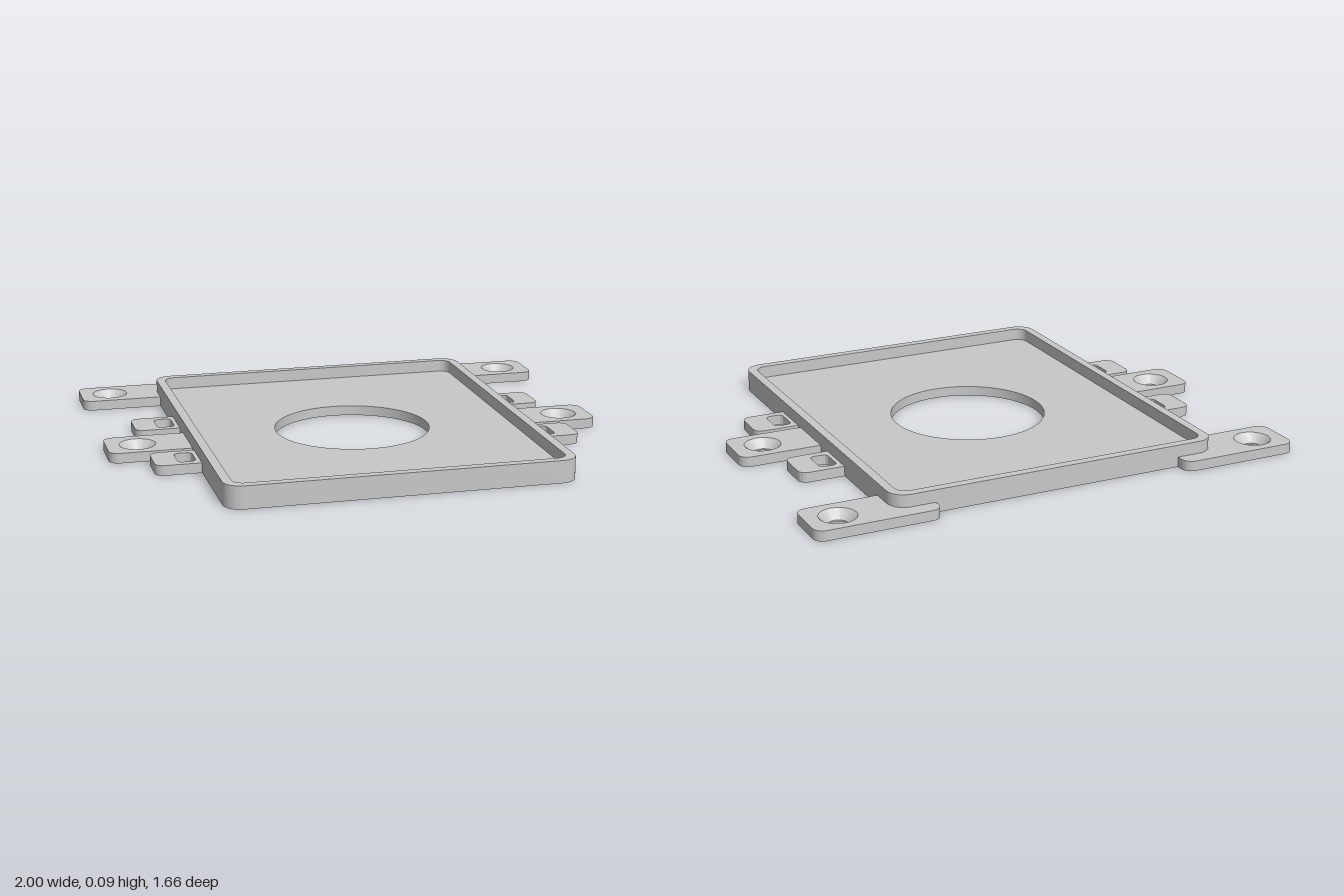
import * as THREE from 'three';
import { toCreasedNormals } from 'three/addons/utils/BufferGeometryUtils.js';

const TAB_H = 0.04, RIM_H = 0.089;
const SINK_R = 0.072, BORE_R = 0.038;

// Trace a closed, counter-clockwise outline from [x, z, cornerRadius] corners, seen from above.
function outline(corners, path = new THREE.Shape()) {
  const flat = corners.map(([x, z, r = 0]) => ({ p: new THREE.Vector2(x, -z), r }));
  if (THREE.ShapeUtils.isClockWise(flat.map((c) => c.p))) flat.reverse();
  const n = flat.length;
  flat.forEach(({ p, r }, i) => {
    const toward = (q, d) => p.clone().add(q.clone().sub(p).setLength(d));
    const prev = flat[(i + n - 1) % n].p, next = flat[(i + 1) % n].p;
    const a = r ? toward(prev, r) : p, b = r ? toward(next, r) : p;
    if (i === 0) path.moveTo(a.x, a.y);
    else path.lineTo(a.x, a.y);
    if (r) {
      const c = toward(prev, r * 0.448), d = toward(next, r * 0.448);
      path.bezierCurveTo(c.x, c.y, d.x, d.y, b.x, b.y);
    }
  });
  path.closePath();
  return path;
}

const rect = (x0, x1, z0, z1, r) => [[x0, z0, r], [x1, z0, r], [x1, z1, r], [x0, z1, r]];

function circle(x, z, r) {
  const path = new THREE.Path();
  path.absarc(x, -z, r, 0, Math.PI * 2, false);
  return path;
}

// Flat plate lying on y = 0.
function plate(name, shape, height, material) {
  const geo = new THREE.ExtrudeGeometry(shape, { depth: height, bevelEnabled: false, curveSegments: 32 });
  geo.rotateX(-Math.PI / 2);
  const mesh = new THREE.Mesh(toCreasedNormals(geo, 0.6), material);
  mesh.name = name;
  return mesh;
}

export function createModel() {
  const model = new THREE.Group();
  model.name = 'mountingTray';
  const grey = new THREE.MeshStandardMaterial({ color: 0xc8c8c8 });
  grey.name = 'grey';

  // Raised rim around the tray
  const inner = rect(-0.64, 0.64, -0.731, 0.796, 0.045);
  const rim = outline(rect(-0.676, 0.676, -0.767, 0.832, 0.07));
  rim.holes.push(outline(inner, new THREE.Path()));
  model.add(plate('rim', rim, RIM_H, grey));

  // Floor with the large round opening
  const floor = outline(inner);
  floor.holes.push(circle(0, 0.033, 0.312));
  model.add(plate('floor', floor, TAB_H, grey));

  // Conical screw seat, including the thin ring under it
  const seatGeo = toCreasedNormals(new THREE.LatheGeometry([
    [SINK_R, TAB_H], [BORE_R, 0.006], [BORE_R, 0], [SINK_R, 0],
  ].map(([r, y]) => new THREE.Vector2(r, y)), 64), 0.6);

  for (const [side, s] of [['left', 1], ['right', -1]]) {
    const mirror = (corners) => corners.map(([x, z, r]) => [x * s, z, r]);

    // Screw tabs: the rear one wraps around the tray corner
    const screwTabs = [
      ['RearScrewTab', -0.724, [
        [0.511, -0.832, 0.04], [1, -0.832, 0.04], [1, -0.613, 0.04],
        [0.66, -0.613], [0.66, -0.72], [0.63, -0.75], [0.511, -0.75],
      ]],
      ['MiddleScrewTab', 0.055, [
        [0.66, -0.055], [1, -0.055, 0.04], [1, 0.165, 0.04], [0.66, 0.165],
      ]],
    ];
    for (const [name, z, corners] of screwTabs) {
      const tab = new THREE.Group();
      tab.name = side + name;
      const shape = outline(mirror(corners));
      shape.holes.push(circle(0.876 * s, z, SINK_R));
      const seat = new THREE.Mesh(seatGeo, grey);
      seat.name = 'screwSeat';
      seat.position.set(0.876 * s, 0, z);
      tab.add(plate('tabPlate', shape, TAB_H, grey), seat);
      model.add(tab);
    }

    // Small slotted tabs either side of the middle screw tab
    for (const [name, z] of [['RearSlotTab', -0.211], ['FrontSlotTab', 0.277]]) {
      const shape = outline(mirror([
        [0.66, z - 0.088], [0.853, z - 0.088, 0.035], [0.853, z + 0.088, 0.035], [0.66, z + 0.088],
      ]));
      shape.holes.push(outline(mirror(rect(0.692, 0.762, z - 0.057, z + 0.057, 0.02)), new THREE.Path()));
      model.add(plate(side + name, shape, TAB_H, grey));
    }
  }
  return model;
}
